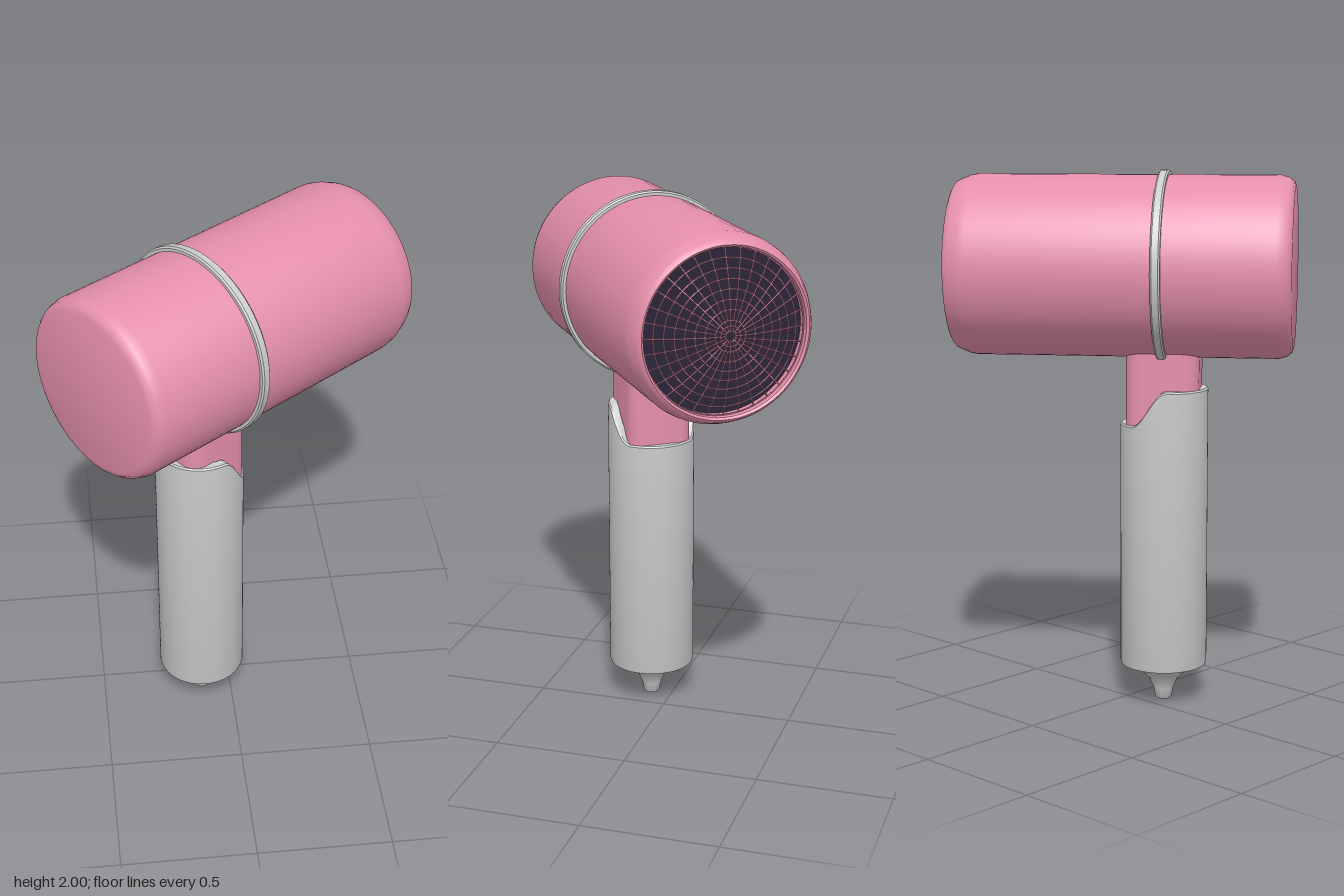
import * as THREE from 'three';
import { toCreasedNormals } from 'three/addons/utils/BufferGeometryUtils.js';

const material = (color, side = THREE.FrontSide) => new THREE.MeshStandardMaterial({ color, side });
const PINK = material(0xe58fab);
const GREY = material(0xcccccc);
const DARK = material(0x2a2438, THREE.DoubleSide);

const AXIS_Y = 1.648;      // height of the barrel axis
const HANDLE_X = -0.14;    // handle position along the barrel

function part(parent, name, geometry, mat) {
  const mesh = new THREE.Mesh(geometry, mat);
  mesh.name = name;
  parent.add(mesh);
  return mesh;
}

const lathe = (profile, segments = 72) =>
  new THREE.LatheGeometry(profile.map(([r, y]) => new THREE.Vector2(r, y)), segments);

// Lathe turned so that its axis runs along +x
const barrelLathe = (profile) => toCreasedNormals(lathe(profile), 0.6).rotateZ(-Math.PI / 2);

function createBarrel() {
  const barrel = new THREE.Group();
  barrel.name = 'barrel';
  barrel.position.y = AXIS_Y;

  // Closed front, straight wall, bevelled rear rim turning inwards
  part(barrel, 'barrelShell', barrelLathe([
    [0, -0.618], [0.295, -0.618], [0.312, -0.612], [0.326, -0.595], [0.335, -0.565],
    [0.335, 0.55], [0.331, 0.575], [0.318, 0.61], [0.31, 0.625], [0.302, 0.63],
    [0.294, 0.624], [0.291, 0.56],
  ]), PINK);

  // Trim band round the barrel
  part(barrel, 'trimRing', barrelLathe([
    [0.33, -0.018], [0.346, -0.018], [0.352, -0.012], [0.352, 0.012], [0.346, 0.018], [0.33, 0.018],
  ]), GREY).position.x = HANDLE_X;

  const disc = part(barrel, 'intakeBack', new THREE.CircleGeometry(0.295, 64), DARK);
  disc.rotation.y = Math.PI / 2;
  disc.position.x = 0.575;

  barrel.add(createGrille());
  return barrel;
}

// Domed wire grille over the rear intake
function createGrille() {
  const grille = new THREE.Group();
  grille.name = 'intakeGrille';
  const outer = 0.292, wire = 0.0028;
  const dome = (r) => 0.667 - 0.065 * (r / outer) ** 2;

  const radii = [0.018, 0.036, 0.054];
  for (let r = 0.09; r < outer; r += 0.0335) radii.push(r);
  for (const r of radii) {
    const ring = part(grille, 'grilleRing', new THREE.TorusGeometry(r, wire, 5, 56), PINK);
    ring.rotation.y = Math.PI / 2;
    ring.position.x = dome(r);
  }

  const spokes = 32;
  for (let i = 0; i < spokes; i++) {
    const a = (i / spokes) * Math.PI * 2;
    const start = i % 2 ? 0.054 : 0.018;
    const points = [];
    for (let k = 0; k <= 5; k++) {
      const r = start + (outer - start) * (k / 5);
      points.push(new THREE.Vector3(dome(r), r * Math.cos(a), r * Math.sin(a)));
    }
    part(grille, 'grilleSpoke',
      new THREE.TubeGeometry(new THREE.CatmullRomCurve3(points), 10, wire, 5), PINK);
  }
  return grille;
}

function createHandle() {
  const handle = new THREE.Group();
  handle.name = 'handle';
  handle.position.x = HANDLE_X;

  // Rounded rectangular neck running up into the barrel
  const w = 0.135, d = 0.122, c = 0.06;
  const shape = new THREE.Shape();
  shape.absarc(w - c, d - c, c, 0, Math.PI / 2);
  shape.absarc(-w + c, d - c, c, Math.PI / 2, Math.PI);
  shape.absarc(-w + c, -d + c, c, Math.PI, Math.PI * 1.5);
  shape.absarc(w - c, -d + c, c, Math.PI * 1.5, Math.PI * 2);
  const neck = new THREE.ExtrudeGeometry(shape, { depth: 1.24, bevelEnabled: false, curveSegments: 10 });
  neck.rotateX(-Math.PI / 2).translate(0, 0.16, 0);
  part(handle, 'neck', toCreasedNormals(neck, 0.6), PINK);

  // Grip sleeve: the top edge steps down in a smooth curve towards the rear
  const sleeve = lathe([
    [0, 0.138], [0.15, 0.138], [0.16, 0.141], [0.163, 0.15],
    [0.163, 1.194], [0.158, 1.2], [0.13, 1.2], [0.13, 0.98],
  ], 96);
  const pos = sleeve.attributes.position;
  for (let i = 0; i < pos.count; i++) {
    const x = pos.getX(i), y = pos.getY(i);
    if (y < 1.1) continue;
    const across = (x / Math.hypot(x, pos.getZ(i))) * 0.163;
    pos.setY(i, y - 0.132 * THREE.MathUtils.smoothstep(across, -0.02, 0.11));
  }
  part(handle, 'gripSleeve', toCreasedNormals(sleeve, 0.6), GREY);

  // Cable outlet at the foot of the handle
  part(handle, 'cableOutlet', toCreasedNormals(lathe([
    [0, 0], [0.026, 0], [0.031, 0.006], [0.037, 0.04], [0.053, 0.078],
    [0.075, 0.1], [0.1, 0.118], [0.12, 0.13], [0.13, 0.142],
  ], 48), 0.6), GREY);
  return handle;
}

export function createModel() {
  const model = new THREE.Group();
  model.name = 'hairDryer';
  const body = new THREE.Group();
  body.name = 'body';
  body.rotation.y = THREE.MathUtils.degToRad(36.5);
  body.add(createBarrel(), createHandle());
  model.add(body);
  return model;
}
